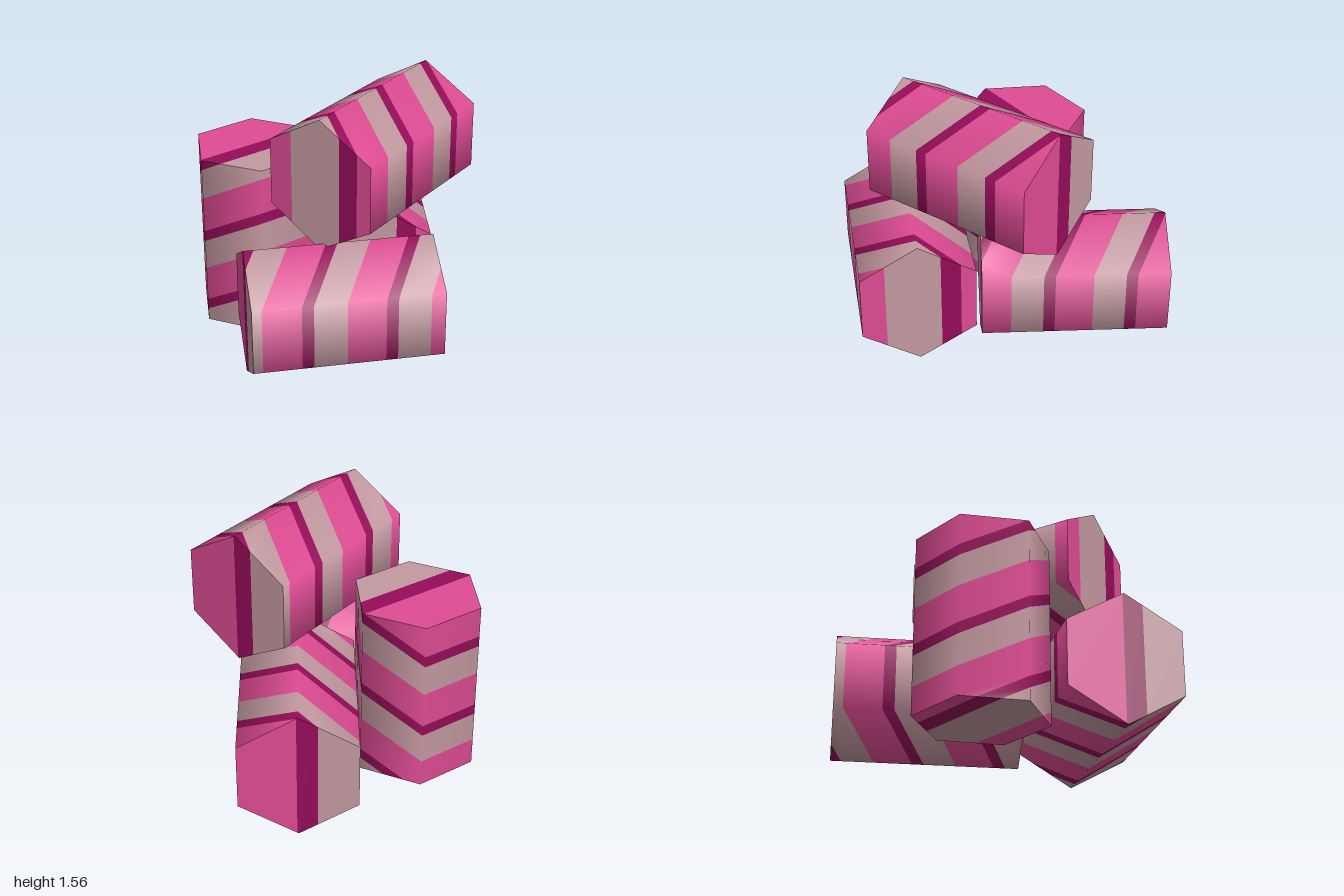
import * as THREE from 'three';

const HALF = 0.552;   // half the length of a candy
const W = 0.342;      // centre to flat side
const R = 0.4;        // centre to ridge
const SLANT = 0.577;  // stripe slope across the width

// Stripe pattern, repeated along the slant coordinate
const PERIOD = 0.482;
const STRIPES = [
  { name: 'darkStripe', from: 0.007, to: 0.075 },
  { name: 'pinkStripe', from: 0.075, to: 0.299 },
  { name: 'paleStripe', from: 0.299, to: 0.489 },
];

const slant = (p) => p.y - SLANT * p.x;

// Keeps the part of a convex polygon where sign * (slant - limit) >= 0
function clip(poly, limit, sign) {
  const out = [];
  poly.forEach((a, i) => {
    const b = poly[(i + 1) % poly.length];
    const da = sign * (slant(a) - limit);
    const db = sign * (slant(b) - limit);
    if (da >= 0) out.push(a);
    if (da * db < 0) out.push(a.clone().lerp(b, da / (da - db)));
  });
  return out;
}

// Six side panels and two end caps of a hexagonal prism along y
function prismFaces() {
  const ring = [[0, R], [W, R / 2], [W, -R / 2], [0, -R], [-W, -R / 2], [-W, R / 2]];
  const at = ([x, z], y) => new THREE.Vector3(x, y, z);
  const faces = ring.map((a, i) => {
    const b = ring[(i + 1) % 6];
    return { poly: [at(a, -HALF), at(b, -HALF), at(b, HALF), at(a, HALF)], cap: 0 };
  });
  faces.push({ poly: ring.map((p) => at(p, HALF)), cap: 1 });
  faces.push({ poly: ring.map((p) => at(p, -HALF)).reverse(), cap: -1 });
  return faces;
}

// All surface pieces belonging to one stripe colour
function stripeGeometry({ from, to }) {
  const pos = [], nor = [];
  for (const { poly, cap } of prismFaces()) {
    for (let n = -2; n <= 2; n++) {
      const piece = clip(clip(poly, from + n * PERIOD, 1), to + n * PERIOD, -1);
      for (let i = 1; i + 1 < piece.length; i++) {
        for (const p of [piece[0], piece[i], piece[i + 1]]) {
          pos.push(p.x, p.y, p.z);
          // sides are shaded round, caps flat
          const normal = cap ? new THREE.Vector3(0, cap, 0) : new THREE.Vector3(p.x, 0, p.z).normalize();
          nor.push(normal.x, normal.y, normal.z);
        }
      }
    }
  }
  const g = new THREE.BufferGeometry();
  g.setAttribute('position', new THREE.Float32BufferAttribute(pos, 3));
  g.setAttribute('normal', new THREE.Float32BufferAttribute(nor, 3));
  return g;
}

export function createModel() {
  const material = (name, color) => {
    const m = new THREE.MeshStandardMaterial({ color });
    m.name = name;
    return m;
  };
  const materials = {
    darkStripe: material('dark magenta', 0x960d5a),
    pinkStripe: material('pink', 0xdf4c94),
    paleStripe: material('dusty rose', 0xc49aa1),
  };
  const geometries = STRIPES.map(stripeGeometry);

  const model = new THREE.Group();
  model.name = 'candyPile';

  function addCandy(name, position) {
    const candy = new THREE.Group();
    candy.name = name;
    STRIPES.forEach((s, i) => {
      const mesh = new THREE.Mesh(geometries[i], materials[s.name]);
      mesh.name = s.name;
      candy.add(mesh);
    });
    candy.position.set(...position);
    model.add(candy);
    return candy;
  }

  // Standing candy
  addCandy('standingCandy', [-0.471, 0.558, 0.31]).scale.setScalar(0.983);

  // Lying candies: position and heading of the axis about y
  const lying = [
    ['backCandy', [-0.295, 0.4, -0.41], -2.163],
    ['frontCandy', [0.386, 0.4, 0.344], -0.475],
    ['topCandy', [0.157, 1.157, -0.098], -2.841],
  ];
  for (const [name, position, heading] of lying) {
    addCandy(name, position).rotation.set(Math.PI / 2, heading, 0, 'YXZ');
  }
  return model;
}
